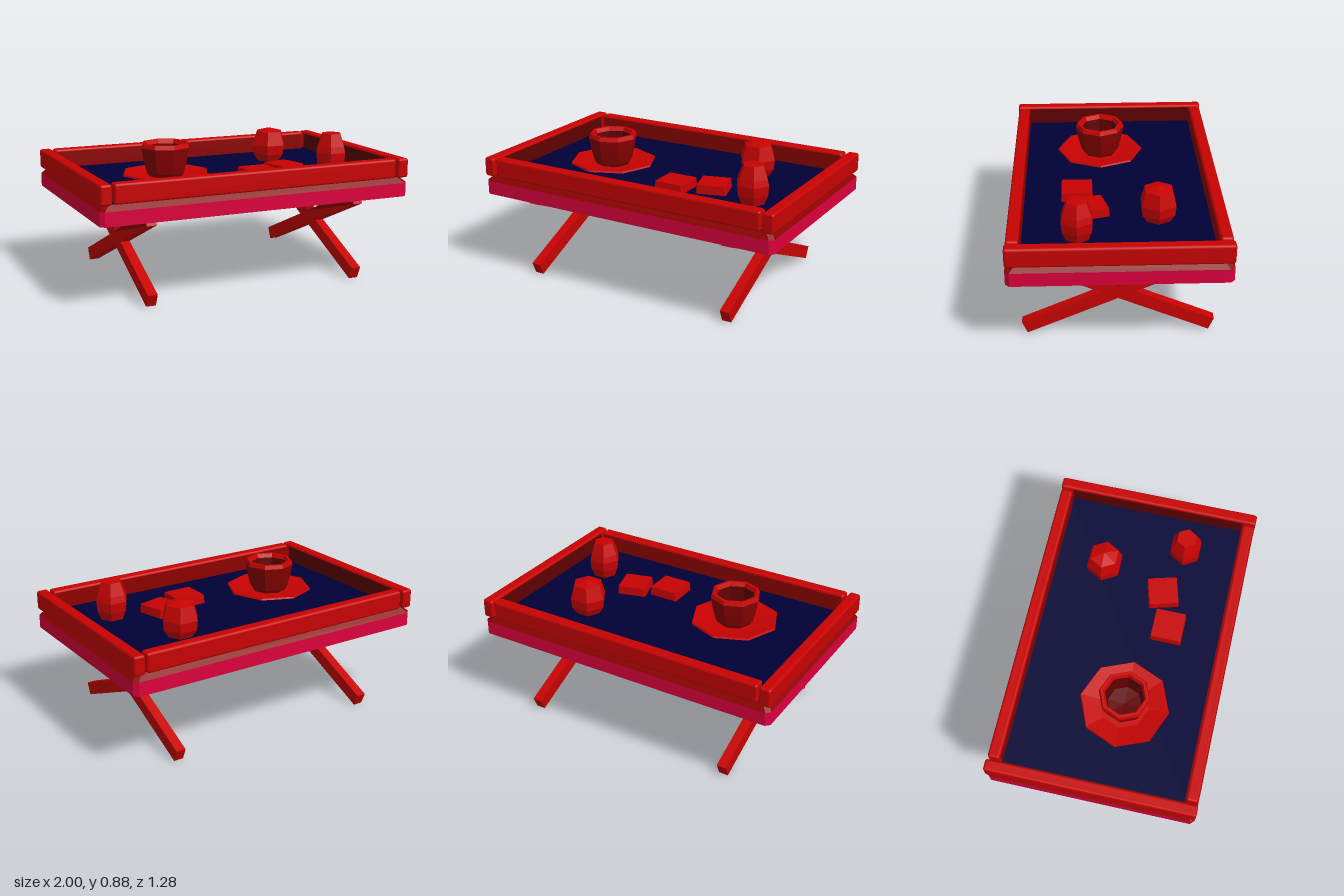
import * as THREE from 'three';
import { RoundedBoxGeometry } from 'three/addons/geometries/RoundedBoxGeometry.js';

const mat = (name, color) => {
  const m = new THREE.MeshStandardMaterial({ color });
  m.name = name;
  return m;
};

// Gives every face its own hard-edged normal
function faceted(geometry) {
  const g = geometry.index ? geometry.toNonIndexed() : geometry;
  g.computeVertexNormals();
  return g;
}

// Rectangular slab with cut corners; its top edge is pulled in by `inset`
function slab(w, d, y0, y1, cut, inset = 0) {
  const x = w / 2, z = d / 2;
  const pts = [[x, z - cut], [x - cut, z], [cut - x, z], [-x, z - cut],
    [-x, cut - z], [cut - x, -z], [x - cut, -z], [x, cut - z]];
  const shape = new THREE.Shape(pts.map(([a, b]) => new THREE.Vector2(a, b)));
  const g = new THREE.ExtrudeGeometry(shape, { depth: y1 - y0, bevelEnabled: false });
  g.rotateX(-Math.PI / 2);
  const p = g.attributes.position;
  for (let i = 0; i < p.count; i++) {
    if (p.getY(i) < (y1 - y0) / 2) continue;
    p.setX(i, p.getX(i) * (1 - inset / x));
    p.setZ(i, p.getZ(i) * (1 - inset / z));
  }
  g.translate(0, y0, 0);
  return faceted(g);
}

// Faceted turned shape with a corner pointing along x
const turned = (points, sides) => faceted(new THREE.LatheGeometry(
  points.map(([r, y]) => new THREE.Vector2(r, y)), sides, Math.PI / 2));

// Dark tapering facing over the upper half of a leg, running along +z
function legFacing() {
  const shape = new THREE.Shape([[0, 0.0415], [-0.609, -0.0405], [-0.609, 0.0415]]
    .map(([a, b]) => new THREE.Vector2(a, b)));
  const g = new THREE.ExtrudeGeometry(shape, { depth: 0.063, bevelEnabled: false });
  return g.translate(0, 0, -0.0315).rotateY(Math.PI / 2);
}

export function createModel() {
  const red = mat('red lacquer', 0xc80202);
  const shade = mat('dark red', 0x8c0000);
  const deep = mat('deep maroon', 0x600000);
  const crimson = mat('crimson board', 0xdc003c);
  const navy = mat('navy lining', 0x000036);

  const root = new THREE.Group();
  root.name = 'trayTable';
  const add = (name, geometry, material, x = 0, y = 0, z = 0, parent = root) => {
    const m = new THREE.Mesh(geometry, material);
    m.name = name;
    m.position.set(x, y, z);
    parent.add(m);
    return m;
  };

  // Table board, its chamfered upper edge and the tray lining
  add('board', slab(2, 1.28, 0.52, 0.605, 0.025), crimson);
  add('boardChamfer', slab(2, 1.28, 0.605, 0.638, 0.025, 0.035), shade);
  add('trayLining', new THREE.BoxGeometry(1.92, 0.006, 1.2), navy, 0, 0.638, 0);

  // Tray rails with darker inner faces, and crossed legs
  for (const s of [1, -1]) {
    add('sideRail', new RoundedBoxGeometry(0.072, 0.12, 1.28, 2, 0.015), red, s * 0.964, 0.698, 0);
    add('sideRailInside', new THREE.BoxGeometry(0.004, 0.102, 1.12), deep, s * 0.927, 0.692, 0);
    add('longRail', new RoundedBoxGeometry(1.83, 0.12, 0.074, 2, 0.015), red, 0, 0.698, s * 0.597);
    add('longRailInside', new THREE.BoxGeometry(1.8, 0.102, 0.004), shade, 0, 0.692, s * 0.559);
    for (const t of [1, -1]) {
      const leg = add('crossedLeg', new THREE.BoxGeometry(0.06, 0.081, 1.22), red, s * 0.68, 0.28, 0);
      leg.rotation.x = 0.409;
      const facing = add('legFacing', legFacing(), shade, 0, 0, 0, leg);
      // The leg's raised end lies along -z before mirroring
      facing.rotation.y = Math.PI;
      if (t < 0) leg.rotation.set(-0.409, Math.PI, 0);
    }
  }

  // Saucer, and cup with bright rim, darker wall and deep inside
  const cupPart = (name, points, material) => add(name, turned(points, 8), material, -0.4, 0, 0.08);
  cupPart('saucer', [[0, 0.641], [0.15, 0.641], [0.277, 0.68], [0.272, 0.69],
    [0.15, 0.668], [0, 0.668]], red);
  cupPart('cupWall', [[0, 0.665], [0.105, 0.665], [0.122, 0.69], [0.143, 0.77], [0.157, 0.845]], shade);
  cupPart('cupRim', [[0.157, 0.845], [0.148, 0.87], [0.13, 0.87], [0.118, 0.845]], red);
  cupPart('cupInside', [[0.118, 0.845], [0.105, 0.7], [0, 0.69]], deep);

  // Rounded sugar pot and taller shaker
  add('sugarPot', turned([[0, 0.641], [0.08, 0.641], [0.112, 0.69], [0.118, 0.75],
    [0.092, 0.84], [0, 0.863]], 6), red, 0.475, 0, -0.245);
  add('shaker', turned([[0, 0.641], [0.075, 0.641], [0.1, 0.7], [0.105, 0.76],
    [0.095, 0.8], [0.065, 0.88], [0, 0.88]], 6), red, 0.677, 0, 0.237);

  // Two flat square boxes
  add('squareBox', slab(0.195, 0.195, 0.641, 0.695, 0.006, 0.004), red, 0.157, 0, 0.235);
  const turnedBox = add('squareBox', slab(0.185, 0.19, 0.641, 0.695, 0.006, 0.004), red, 0.378, 0, 0.155);
  turnedBox.rotation.y = 0.27;

  return root;
}
